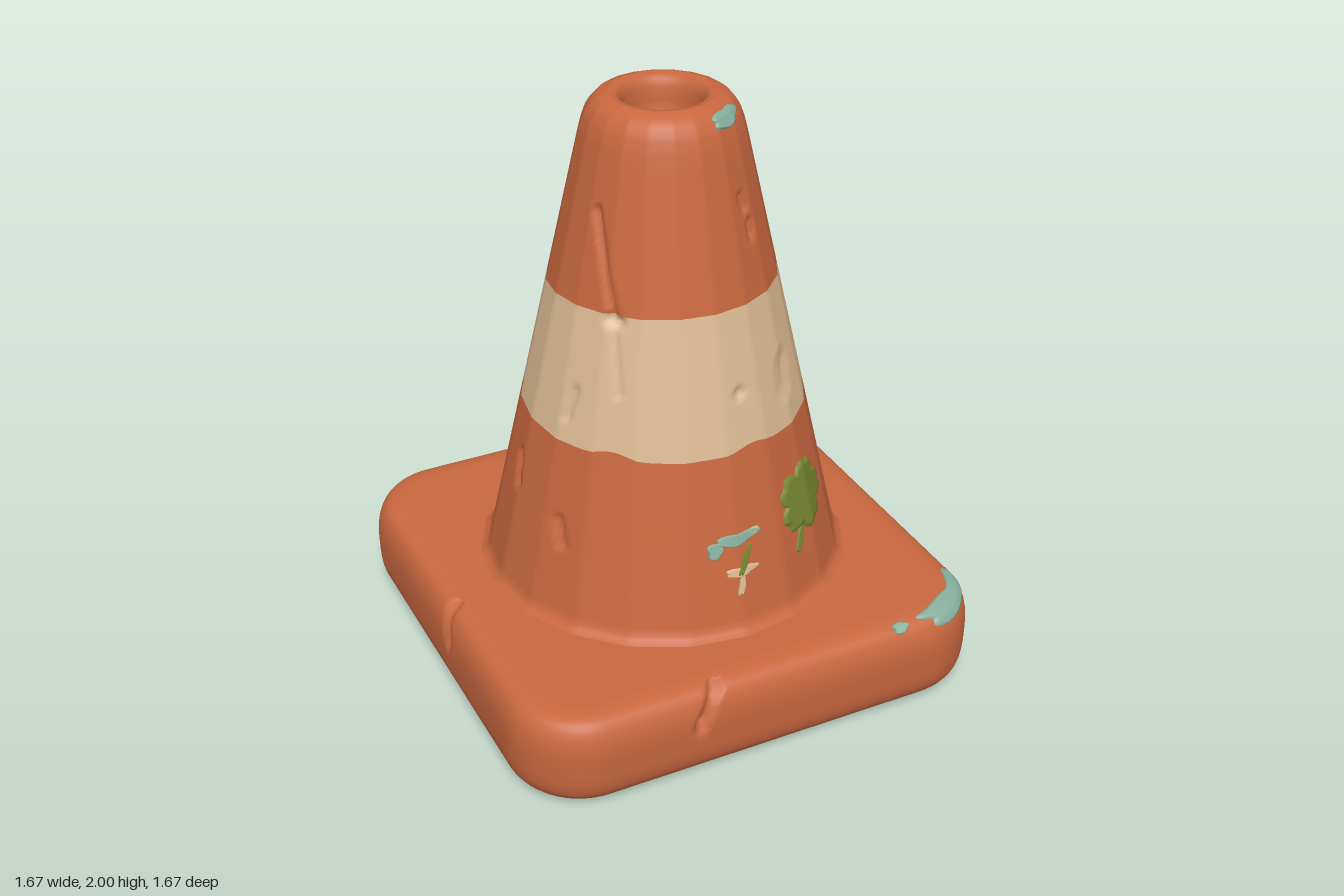
import * as THREE from 'three';

const V = (x, y, z) => new THREE.Vector3(x, y, z);
const mat = (name, color) => {
  const m = new THREE.MeshStandardMaterial({ color });
  m.name = name;
  return m;
};

// Smooth surface from rings: point(u, v), closed in u, u and v in 0..1
function loft(point, nu, nv) {
  const pos = [], index = [];
  for (let j = 0; j <= nv; j++)
    for (let i = 0; i < nu; i++) pos.push(...point(i / nu, j / nv).toArray());
  for (let j = 0; j < nv; j++)
    for (let i = 0; i < nu; i++) {
      const k = (i + 1) % nu, a = j * nu + i, b = j * nu + k;
      index.push(a, b, b + nu, a, b + nu, a + nu);
    }
  const g = new THREE.BufferGeometry();
  g.setAttribute('position', new THREE.Float32BufferAttribute(pos, 3));
  g.setIndex(index);
  g.computeVertexNormals();
  return g;
}

// Push a surface point inwards where it lies near a gouge line
const hit = V();
function dent(p, inward, gouges) {
  let depth = 0;
  for (const g of gouges) {
    g.line.closestPointToPoint(p, true, hit);
    depth = Math.max(depth, g.depth * (1 - hit.distanceTo(p) / g.width));
  }
  return p.addScaledVector(inward, depth);
}
const gouge = (a, b, width, depth) => ({ line: new THREE.Line3(a, b), width, depth });

// ---- Cone: radius by height, softly faceted ----
const PROFILE = [[0.32, 0.66], [0.335, 0.63], [0.345, 0.613], [0.37, 0.6], [1.86, 0.268], [1.9, 0.258],
  [1.94, 0.244], [1.97, 0.226], [1.988, 0.206], [2, 0.17]];
const SIDES = 20;

function radius(y) {
  let i = 1;
  while (i < PROFILE.length - 1 && y > PROFILE[i][0]) i++;
  const [y0, r0] = PROFILE[i - 1], [y1, r1] = PROFILE[i];
  return THREE.MathUtils.lerp(r0, r1, (y - y0) / (y1 - y0));
}
function plainCone(a, y) {
  const step = 2 * Math.PI / SIDES;
  const local = THREE.MathUtils.euclideanModulo(a, step) - step / 2;
  const r = radius(y) * Math.cos(step / 2) / Math.cos(local) * 1.006;
  return V(r * Math.sin(a), y, r * Math.cos(a));
}
// Start angle and height, end angle and height, width, depth
const coneGouges = [
  [-1.18, 1.7, -0.87, 1.38, 0.02, 0.02], [-0.87, 1.38, -0.78, 1.14, 0.013, 0.012],
  [-0.9, 1.38, -0.83, 1.37, 0.03, 0.025], [-1.15, 1.12, -1.2, 1.02, 0.02, 0.015],
  [0.48, 1.72, 0.52, 1.68, 0.02, 0.018], [0.55, 1.63, 0.56, 1.59, 0.02, 0.018],
  [1.93, 1.54, 1.95, 1.47, 0.022, 0.025], [-1.65, 0.8, -1.6, 0.7, 0.025, 0.025],
  [-1.15, 0.68, -1.1, 0.6, 0.025, 0.02], [0.14, 1.125, 0.15, 1.12, 0.024, 0.02],
  [0.67, 1.14, 0.64, 1.07, 0.06, 0.014],
].map(([a, y, b, z, w, d]) => gouge(plainCone(a, y), plainCone(b, z), w, d));

function cone(a, y) {
  return dent(plainCone(a, y), V(-Math.sin(a), 0, -Math.cos(a)), coneGouges);
}

// Uneven edges of the pale band
function bump(a, centre, width) {
  const d = THREE.MathUtils.euclideanModulo(a - centre + Math.PI, 2 * Math.PI) - Math.PI;
  return Math.exp(-((d / width) ** 2));
}
const bandLow = a => 0.947 - 0.012 * Math.cos(a) + 0.02 * bump(a, -0.8, 0.15) + 0.018 * bump(a, 0.22, 0.15);
const bandHigh = a => 1.395 - 0.035 * bump(a, -2.5, 0.9);

function coneSection(low, high, rows) {
  return loft((u, v) => {
    const a = u * 2 * Math.PI;
    return cone(a, THREE.MathUtils.lerp(low(a), high(a), v));
  }, 200, rows);
}

// ---- Base: rounded square, edge profile of (offset, height) ----
const CORE = 0.575;
const edge = new THREE.CatmullRomCurve3([[0.12, 0], [0.17, 0], [0.215, 0.015], [0.25, 0.06], [0.262, 0.16],
  [0.255, 0.26], [0.225, 0.315], [0.17, 0.333], [0.12, 0.335]].map(([r, y]) => V(r, y, 0)));
const baseGouges = [
  gouge(V(-0.27, 0.21, 0.83), V(-0.2, 0.325, 0.79), 0.03, 0.045),
  gouge(V(0.25, 0.2, -0.83), V(0.2, 0.325, -0.79), 0.03, 0.045),
  gouge(V(-0.83, 0.21, 0.08), V(-0.79, 0.325, 0.03), 0.03, 0.045),
];
function base(u, t) {
  const q = Math.floor(u * 4), f = u * 4 - q, th = q * Math.PI / 2;
  const along = CORE * Math.min(1, 2 * f / 0.7 - 1);
  const turn = th + Math.max(0, (f - 0.7) / 0.3) * Math.PI / 2;
  const e = edge.getPoint(THREE.MathUtils.clamp(t, 0, 1));
  const n = V(Math.sin(turn), 0, Math.cos(turn));
  const p = V(Math.sin(th) * CORE + Math.cos(th) * along, e.y, Math.cos(th) * CORE - Math.sin(th) * along);
  p.addScaledVector(n, e.x);
  return dent(p, n.negate(), baseGouges);
}
function baseGeometry() {
  const rows = 34;
  return loft((u, v) => {
    const j = Math.round(v * rows);
    if (j === 0) return V(0, 0, 0);
    if (j === rows) return V(0, 0.335, 0);
    return base(u, (j - 1) / (rows - 2));
  }, 480, rows);
}

// ---- Thin paint patch laid on a surface; outline(angle) gives [x, y] ----
function patch(map, outline, segments = 48, lift = 0.007) {
  const e = 0.002;
  return loft((u, v) => {
    const [ox, oy] = outline(u * 2 * Math.PI);
    const x = ox * (1 - v), y = oy * (1 - v), p = map(x, y);
    const n = map(x + e, y).sub(map(x - e, y)).cross(map(x, y + e).sub(map(x, y - e))).normalize();
    return p.addScaledVector(n, Math.min(1, v * 10) * (lift + 0.002) - 0.002);
  }, segments, 10);
}
const onCone = (a0, y0) => (x, y) => cone(a0 + x / radius(y0), y0 + y);
const onBase = (side, f0, k0) => (x, y) => base((side + f0 + x) / 4, (k0 + y) / 8);
const blob = (w, h, tilt = 0, rough = 0.12) => t => {
  const r = 1 + rough * Math.sin(3 * t + 1) + rough * 0.7 * Math.sin(5 * t + w * 40);
  const x = w * r * Math.cos(t), y = h * r * Math.sin(t), c = Math.cos(tilt), s = Math.sin(tilt);
  return [x * c - y * s, x * s + y * c];
};
// Five notched leaves
const leaf = t => {
  const s = Math.abs(Math.sin(2.5 * (t + 1.9)));
  const r = 0.138 * (0.66 + 0.36 * Math.sqrt(s) - 0.1 * Math.max(0, s - 0.9) * 10);
  return [r * 1.04 * Math.cos(t), r * 0.9 * Math.sin(t)];
};

export function createModel() {
  const orange = mat('orange', 0xc8673f);
  const cream = mat('cream', 0xdcba92);
  const green = mat('leaf green', 0x778632);
  const teal = mat('pale teal', 0x88b09e);

  const model = new THREE.Group();
  model.name = 'trafficCone';
  const add = (name, geometry, material) => {
    const m = new THREE.Mesh(geometry, material);
    m.name = name;
    model.add(m);
  };

  add('base', baseGeometry(), orange);
  add('lowerCone', coneSection(() => 0.322, bandLow, 50), orange);
  add('paleBand', coneSection(bandLow, bandHigh, 36), cream);
  add('upperCone', coneSection(bandHigh, () => 2, 56), orange);

  // Rolled rim and shallow hole
  const hole = [[0.173, 1.999], [0.15, 1.997], [0.135, 1.985], [0.126, 1.96], [0.122, 1.92], [0.118, 1.87],
    [0.1, 1.855], [0, 1.855]].map(([r, y]) => new THREE.Vector2(r, y));
  add('topHole', new THREE.LatheGeometry(hole, 40), orange);

  // Leaf emblem with its stalk
  add('leafEmblem', patch(onCone(0.61, 0.68), leaf, 120, 0.009), green);
  add('leafStalk', patch(onCone(0.5, 0.555), blob(0.055, 0.014, 1.1, 0.05)), green);

  // Paint marks beside the emblem
  add('tealMark', patch(onCone(0.015, 0.657), blob(0.085, 0.02, 0.08)), teal);
  add('tealMarkEnd', patch(onCone(-0.14, 0.628), blob(0.027, 0.028)), teal);
  add('creamFleck', patch(onCone(0.12, 0.665), blob(0.022, 0.013, 0.3)), cream);
  add('creamMark', patch(onCone(0.02, 0.545), blob(0.06, 0.016, 0.05)), cream);
  add('creamStroke', patch(onCone(0.01, 0.5), blob(0.04, 0.011, 1.3)), cream);
  add('greenStroke', patch(onCone(0.04, 0.575), blob(0.055, 0.011, 1.1), 48, 0.009), green);

  // Chipped paint on the rim and base
  add('rimChip', patch(onCone(0.55, 1.962), blob(0.07, 0.024, 0.1)), teal);
  add('cornerChip', patch(onBase(0, 0.83, 6.2), blob(0.145, 0.75, 0, 0.14)), teal);
  add('edgeChip', patch(onBase(0, 0.642, 6.1), blob(0.018, 0.35)), teal);
  add('cornerFleck', patch(onBase(1, 0.85, 6.9), blob(0.02, 0.2)), cream);

  return model;
}
